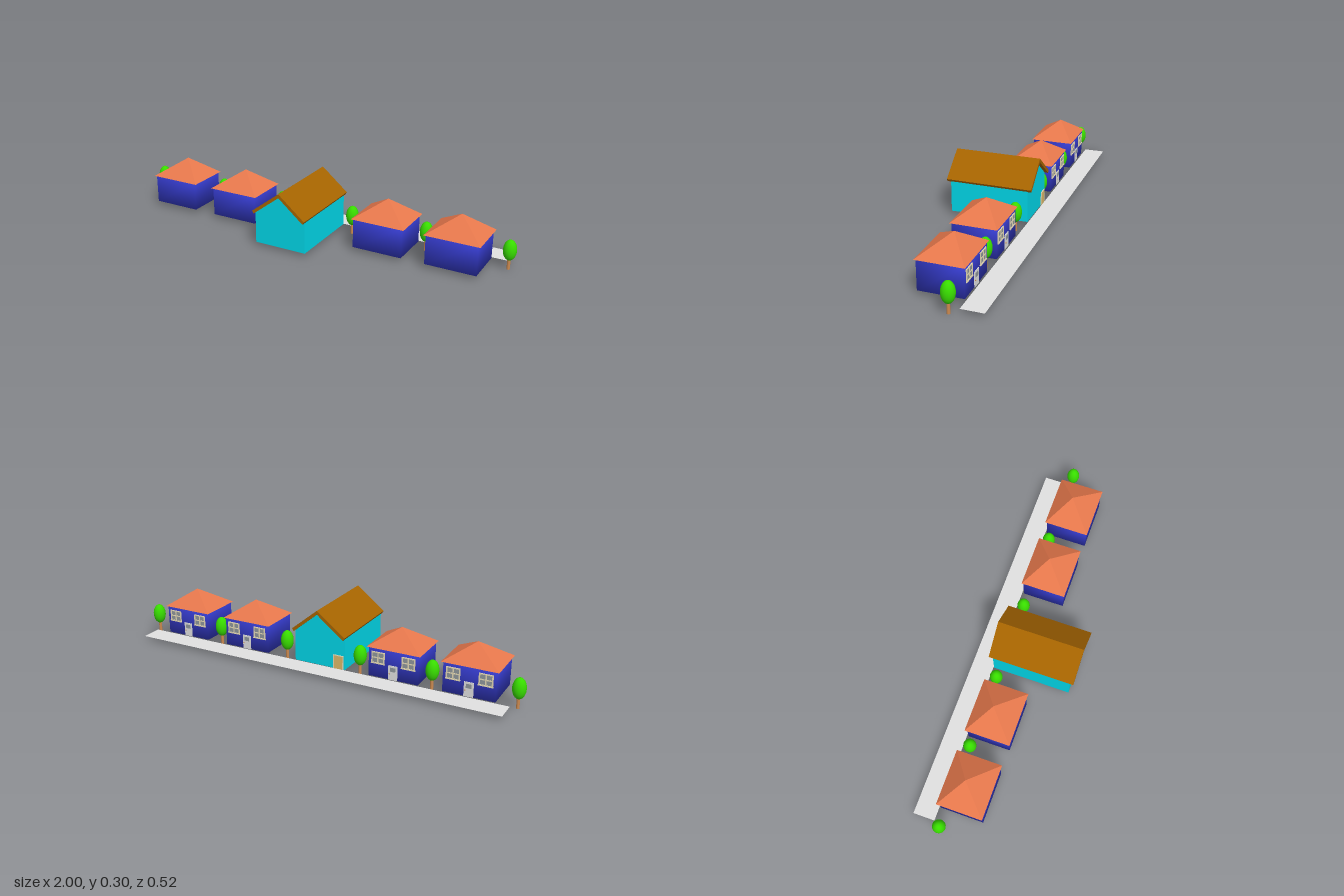
import * as THREE from 'three';
import { mergeVertices } from 'three/addons/utils/BufferGeometryUtils.js';

const mat = (name, color, side = THREE.FrontSide) => {
  const m = new THREE.MeshStandardMaterial({ color, side });
  m.name = name;
  return m;
};

export function createModel() {
  const M = {
    blue: mat('house blue', 0x343ac8),
    tile: mat('terracotta tile', 0xf27e50),
    cyan: mat('hall cyan', 0x00d8ea),
    brown: mat('roof brown', 0xa66400),
    tan: mat('floor tan', 0xdcb868),
    grey: mat('paving grey', 0xe0e0e0, THREE.DoubleSide),
    frame: mat('frame cream', 0xe8dcb8),
    glass: mat('window glass', 0x8f979c),
    leaf: mat('leaf green', 0x38dc00),
    bark: mat('bark', 0xcc8a50),
  };
  const root = new THREE.Group();
  root.name = 'street';

  const add = (parent, name, geo, m, x = 0, y = 0, z = 0) => {
    const mesh = new THREE.Mesh(geo, m);
    mesh.name = name;
    mesh.position.set(x, y, z);
    parent.add(mesh);
    return mesh;
  };
  const box = (parent, name, m, w, h, d, x, y, z) =>
    add(parent, name, new THREE.BoxGeometry(w, h, d), m, x, y, z);
  const group = (name, x) => {
    const g = new THREE.Group();
    g.name = name;
    g.position.x = x;
    root.add(g);
    return g;
  };

  // Softly shaded wall block: corners share one normal
  let wallGeo = new THREE.BoxGeometry(0.245, 0.144, 0.209);
  wallGeo.deleteAttribute('normal');
  wallGeo.deleteAttribute('uv');
  wallGeo = mergeVertices(wallGeo);
  wallGeo.computeVertexNormals();

  // Four-sided hipped roof, its peak set slightly back
  const hipGeo = new THREE.ConeGeometry(Math.SQRT1_2, 1, 4)
    .rotateY(Math.PI / 4).scale(0.265, 0.087, 0.222).toNonIndexed();
  const hip = hipGeo.attributes.position;
  for (let i = 0; i < hip.count; i++) if (hip.getY(i) > 0) hip.setZ(i, -0.012);
  hipGeo.computeVertexNormals();

  // Window with four panes, on the back wall
  const addWindow = (g, x) => {
    const w = new THREE.Group();
    w.name = 'window';
    w.position.set(x, 0.116, -0.146);
    g.add(w);
    box(w, 'panes', M.glass, 0.062, 0.052, 0.002, 0, 0, 0);
    for (const k of [-1, 0, 1]) {
      box(w, 'upright', M.frame, 0.006, 0.056, 0.006, k * 0.03, 0, 0);
      box(w, 'crossbar', M.frame, 0.066, 0.005, 0.006, 0, k * 0.026, 0);
    }
    box(w, 'sill', M.frame, 0.07, 0.004, 0.009, 0, -0.028, 0);
  };

  // Four houses
  for (const x of [-0.757, -0.395, 0.397, 0.757]) {
    const g = group('house', x);
    add(g, 'walls', wallGeo, M.blue, 0, 0.092, -0.0405);
    add(g, 'roof', hipGeo, M.tile, 0, 0.2055, -0.041);
    for (const s of [-1, 1]) addWindow(g, s * 0.075);
    box(g, 'door', M.grey, 0.045, 0.07, 0.004, 0, 0.055, -0.146);
    box(g, 'doorPanel', M.glass, 0.026, 0.02, 0.002, 0, 0.071, -0.148);
    add(g, 'doorKnob', new THREE.SphereGeometry(0.003, 10, 8), M.bark, 0.016, 0.05, -0.149);
  }

  // Gabled hall
  const hall = group('hall', -0.018);
  const gable = new THREE.Shape([
    [-0.133, 0.02], [0.133, 0.02], [0.133, 0.178], [0.004, 0.281], [-0.133, 0.178],
  ].map(p => new THREE.Vector2(...p)));
  add(hall, 'hallWalls',
    new THREE.ExtrudeGeometry(gable, { depth: 0.388, bevelEnabled: false }), M.cyan, 0, 0, -0.15);
  box(hall, 'hallFloor', M.tan, 0.244, 0.002, 0.366, 0, 0.0195, 0.044);
  box(hall, 'hallDoor', M.tan, 0.044, 0.065, 0.004, -0.1, 0.0525, -0.151);
  for (const s of [-1, 1])
    box(hall, 'hallDoorPost', M.frame, 0.004, 0.068, 0.006, -0.1 + s * 0.024, 0.054, -0.151);
  box(hall, 'hallDoorLintel', M.frame, 0.052, 0.004, 0.006, -0.1, 0.087, -0.151);

  // Two sloping roof slabs meeting at the ridge
  for (const s of [-1, 1]) {
    const pts = [[0.005, 0.297], [s * 0.14, 0.186], [s * 0.132, 0.173], [0.005, 0.278]]
      .map(p => new THREE.Vector2(...p));
    add(hall, 'hallRoof', new THREE.ExtrudeGeometry(new THREE.Shape(pts),
      { depth: 0.425, bevelEnabled: false }), M.brown, 0, 0, -0.168);
  }

  // Pavement strip behind the buildings
  add(root, 'pavement', new THREE.PlaneGeometry(1.9, 0.105).rotateX(-Math.PI / 2),
    M.grey, 0.004, 0.02, -0.206);

  // Trees
  for (const x of [-0.97, -0.573, -0.213, 0.183, 0.57, 0.969]) {
    const g = group('tree', x);
    add(g, 'trunk', new THREE.CylinderGeometry(0.0075, 0.0075, 0.055, 16), M.bark, 0, 0.0275, -0.113);
    add(g, 'crown', new THREE.SphereGeometry(1, 28, 20).scale(0.031, 0.05, 0.031), M.leaf, 0, 0.095, -0.113);
  }
  return root;
}
